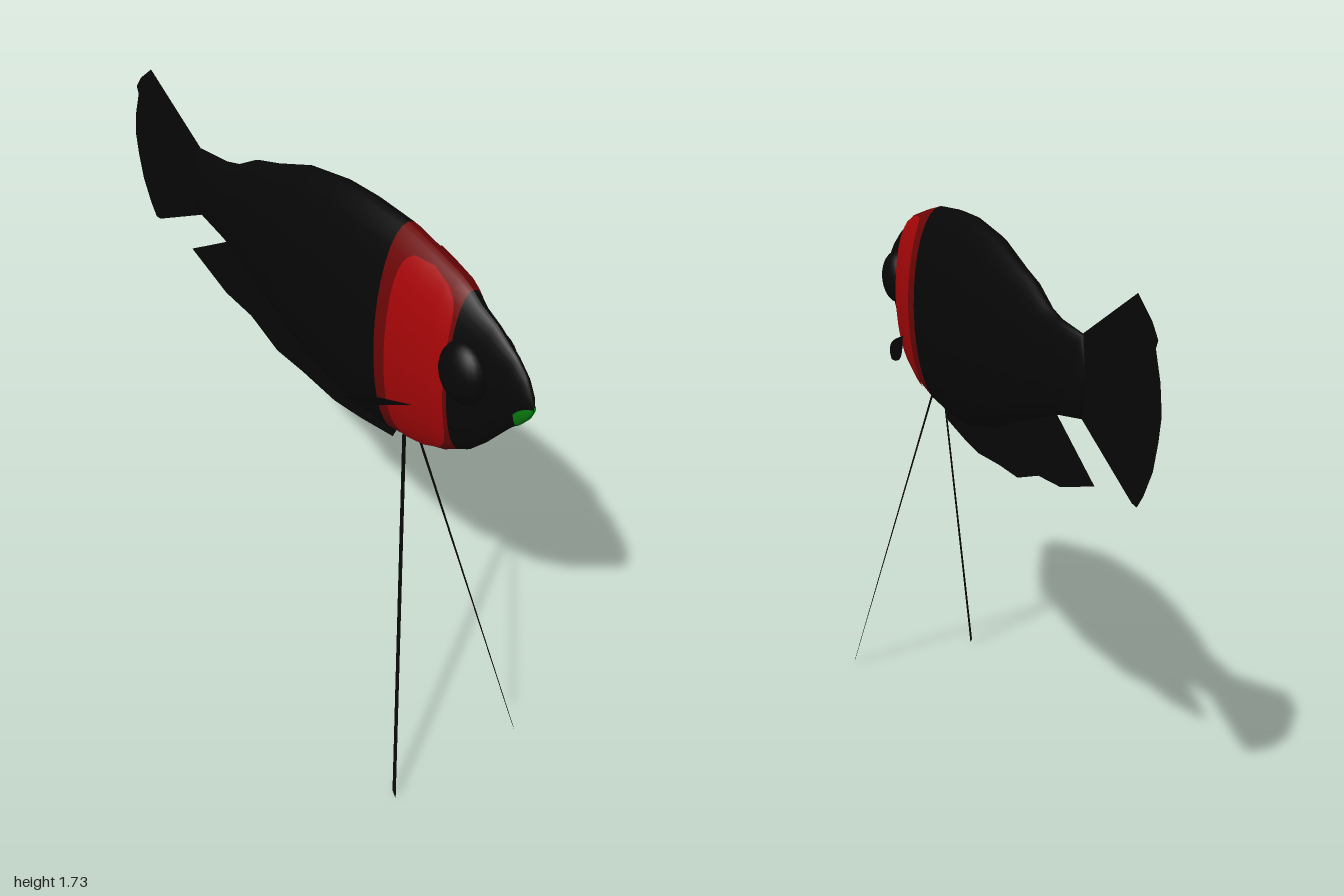
import * as THREE from 'three';

const mat = (name, color, side = THREE.FrontSide) => {
  const m = new THREE.MeshStandardMaterial({ color, side });
  m.name = name;
  return m;
};

// body cross-sections from nose to tail: z, top, bottom, half width
const SECTIONS = [
  [0.997, 1.445, 1.43, 0.002], [0.985, 1.475, 1.405, 0.012], [0.96, 1.515, 1.375, 0.02],
  [0.92, 1.55, 1.335, 0.028], [0.84, 1.60, 1.24, 0.043], [0.78, 1.625, 1.18, 0.055],
  [0.745, 1.65, 1.16, 0.066], [0.7, 1.67, 1.13, 0.08], [0.6, 1.695, 1.09, 0.093],
  [0.48, 1.72, 1.065, 0.1], [0.33, 1.727, 1.05, 0.1], [0.2, 1.722, 1.06, 0.099],
  [0.02, 1.69, 1.1, 0.09], [-0.14, 1.63, 1.16, 0.074], [-0.24, 1.60, 1.19, 0.06],
  [-0.34, 1.545, 1.225, 0.047], [-0.42, 1.522, 1.25, 0.04], [-0.57, 1.505, 1.275, 0.03],
  [-0.58, 1.40, 1.39, 0.002],
];

// point on the body surface at depth z and angle a (0 = back, PI = belly)
function surface(z, a, offset = 0) {
  let i = 0;
  while (i < SECTIONS.length - 2 && z < SECTIONS[i + 1][0]) i++;
  const p = SECTIONS[i], q = SECTIONS[i + 1];
  const t = (p[0] - z) / (p[0] - q[0]);
  const [top, bottom, w] = [1, 2, 3].map((k) => p[k] + (q[k] - p[k]) * t);
  return [
    (w + offset) * Math.sin(a),
    (top + bottom) / 2 + ((top - bottom) / 2 + offset) * Math.cos(a),
    z,
  ];
}

// grid of points, rows running backwards and columns running with the angle
function grid(rows, cols, point) {
  const pos = [], index = [];
  for (let i = 0; i <= rows; i++)
    for (let j = 0; j <= cols; j++) {
      pos.push(...point(i, j));
      if (i < rows && j < cols) {
        const a = i * (cols + 1) + j, b = a + cols + 1;
        index.push(a, a + 1, b, a + 1, b + 1, b);
      }
    }
  const g = new THREE.BufferGeometry();
  g.setAttribute('position', new THREE.Float32BufferAttribute(pos, 3));
  g.setIndex(index);
  g.computeVertexNormals();
  return g;
}

// flat fin in the middle plane from [z, y] points
function flatFin(points) {
  const shape = new THREE.Shape(points.map(([z, y]) => new THREE.Vector2(-z, y)));
  return new THREE.ShapeGeometry(shape).rotateY(Math.PI / 2);
}

export function createModel() {
  const group = new THREE.Group();
  const black = mat('bodyBlack', 0x070707);
  const finBlack = mat('finBlack', 0x070707, THREE.DoubleSide);
  const darkRed = mat('darkRed', 0x6c0606);
  const red = mat('brightRed', 0xa60608, THREE.DoubleSide);
  const green = mat('mouthGreen', 0x0a7f10, THREE.DoubleSide);
  const add = (name, geometry, material) => {
    const mesh = new THREE.Mesh(geometry, material);
    mesh.name = name;
    group.add(mesh);
    return mesh;
  };

  // body with a dark red collar
  const SEG = 32, rows = SECTIONS.length - 1;
  const body = grid(rows, SEG, (i, j) => surface(SECTIONS[i][0], (j / SEG) * Math.PI * 2));
  const perRow = SEG * 6;
  body.addGroup(0, 6 * perRow, 0);
  body.addGroup(6 * perRow, 3 * perRow, 1);
  body.addGroup(9 * perRow, (rows - 9) * perRow, 0);
  add('body', body, [black, darkRed]);

  // mouth: thin patch wrapped under the tip of the nose
  add('mouth', grid(8, 16, (i, j) => {
    const t = i / 8;
    const spread = Math.PI * (0.5 - 0.16 * t);
    return surface(0.997 - 0.05 * t, Math.PI + spread * (j / 8 - 1), 0.003);
  }), green);

  // tail fin
  add('tailFin', flatFin([
    [-0.565, 1.508], [-0.86, 1.665], [-0.935, 1.61], [-0.967, 1.57], [-0.957, 1.547],
    [-0.985, 1.47], [-0.997, 1.39], [-0.985, 1.32], [-0.963, 1.24], [-0.92, 1.165],
    [-0.887, 1.125], [-0.86, 1.128], [-0.565, 1.275],
  ]), finBlack);

  // long belly fin
  add('bellyFin', flatFin([
    [0.5, 1.1], [0.475, 1.06], [0.455, 1.02], [0.3, 0.992], [0.17, 0.976], [0, 0.985],
    [-0.14, 0.985], [-0.29, 1.035], [-0.44, 1.045], [-0.65, 1.11], [-0.4, 1.255],
    [-0.3, 1.27], [0, 1.2],
  ]), finBlack);

  for (const [side, s] of [['left', 1], ['right', -1]]) {
    // bright patch with rounded corners, just above the collar
    const R = 14, C = 24;
    add(side + 'RedPatch', grid(R, C, (i, j) => {
      const u = (j / C) * 2 - 1;
      const half = 0.105 * Math.sqrt(Math.max(0, 1 - Math.pow(Math.abs(u), 6)));
      const z = 0.633 + half * (1 - (2 * i) / R);
      return surface(z, s * (Math.PI / 2 + u * 0.39 * Math.PI), 0.005);
    }), red);

    // bulging eye
    const eye = add(side + 'Eye', new THREE.SphereGeometry(1, 24, 16), black);
    eye.scale.set(0.05, 0.088, 0.08);
    eye.position.set(s * 0.048, 1.447, 0.785);

    // paddle shaped side fin, widest near its tip
    const root = new THREE.Vector3(s * 0.085, 1.272, 0.637);
    const tip = new THREE.Vector3(s * 0.185, 1.237, 0.465);
    const across = new THREE.Vector3(s * 0.013, 0.024, 0.008);
    add(side + 'SideFin', grid(12, 2, (i, j) => {
      const t = i / 12;
      const width = Math.pow(Math.max(0, Math.sin(Math.PI * Math.pow(t, 1.5))), 0.7) * (j - 1);
      return root.clone().lerp(tip, t).addScaledVector(across, width).toArray();
    }), finBlack);

    // thin feeler ribbon reaching down and forward
    const start = [s * 0.02, 1.09, 0.53], end = [s * 0.235, 0, 0.833];
    add(side + 'Feeler', grid(1, 1, (i, j) => {
      const from = i ? end : start;
      return [from[0], from[1] + (i && !j ? 0.02 : 0), from[2] + (j - 0.5) * 0.017];
    }), finBlack);
  }
  return group;
}
